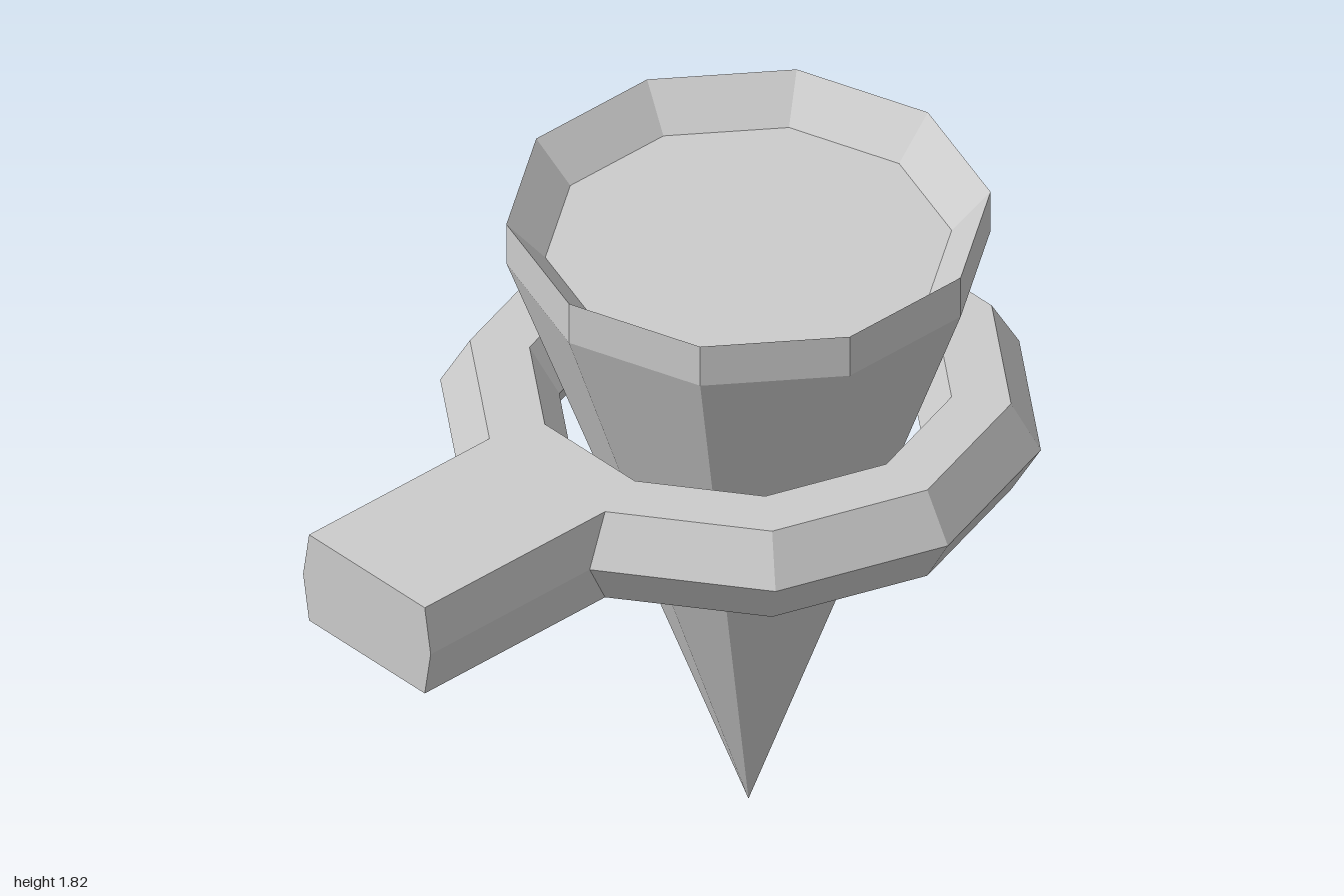
import * as THREE from 'three';

const SIDES = 10;
const material = new THREE.MeshStandardMaterial({ color: 0xcccccc, flatShading: true });

function addMesh(parent, name, geometry, x, y, z) {
  const mesh = new THREE.Mesh(geometry, material);
  mesh.name = name;
  mesh.position.set(x, y, z);
  parent.add(mesh);
}

// Faceted solid of revolution from [radius, y] pairs
function turned(profile, phiStart = 0) {
  const points = profile.map(([r, y]) => new THREE.Vector2(r, y));
  return new THREE.LatheGeometry(points, SIDES, phiStart, Math.PI * 2);
}

export function createModel() {
  const group = new THREE.Group();
  group.name = 'wallTorch';

  // Pointed cone with an upright rim and a shallow recess in the top
  const cone = turned([[0, 0.01], [0.61, 1.705], [0.61, 1.825], [0.512, 1.715], [0, 1.715]]);
  addMesh(group, 'coneCup', cone, 0.013, 0, -0.285);

  // Ring with a hexagonal section, corners pointing to the sides
  const ringRadius = 0.615, tube = 0.152;
  const section = [];
  for (let i = 0; i <= 6; i++) {
    const a = (i * Math.PI) / 3;
    section.push([ringRadius + tube * Math.cos(a), tube * Math.sin(a)]);
  }
  const ringY = 1.19, ringZ = -0.27;
  addMesh(group, 'holderRing', turned(section, Math.PI / SIDES), 0, ringY, ringZ);

  // Bracket arm growing out of the ring's front side
  const half = tube * Math.sin(Math.PI / 3);
  const corners = [[0.214, -half], [0.236, 0], [0.214, half], [-0.214, half], [-0.236, 0], [-0.214, -half]];
  const armShape = new THREE.Shape(corners.map(([x, y]) => new THREE.Vector2(x, y)));
  const arm = new THREE.ExtrudeGeometry(armShape, { depth: 0.62, bevelEnabled: false });
  addMesh(group, 'bracketArm', arm, 0, ringY, 0.38);

  return group;
}
